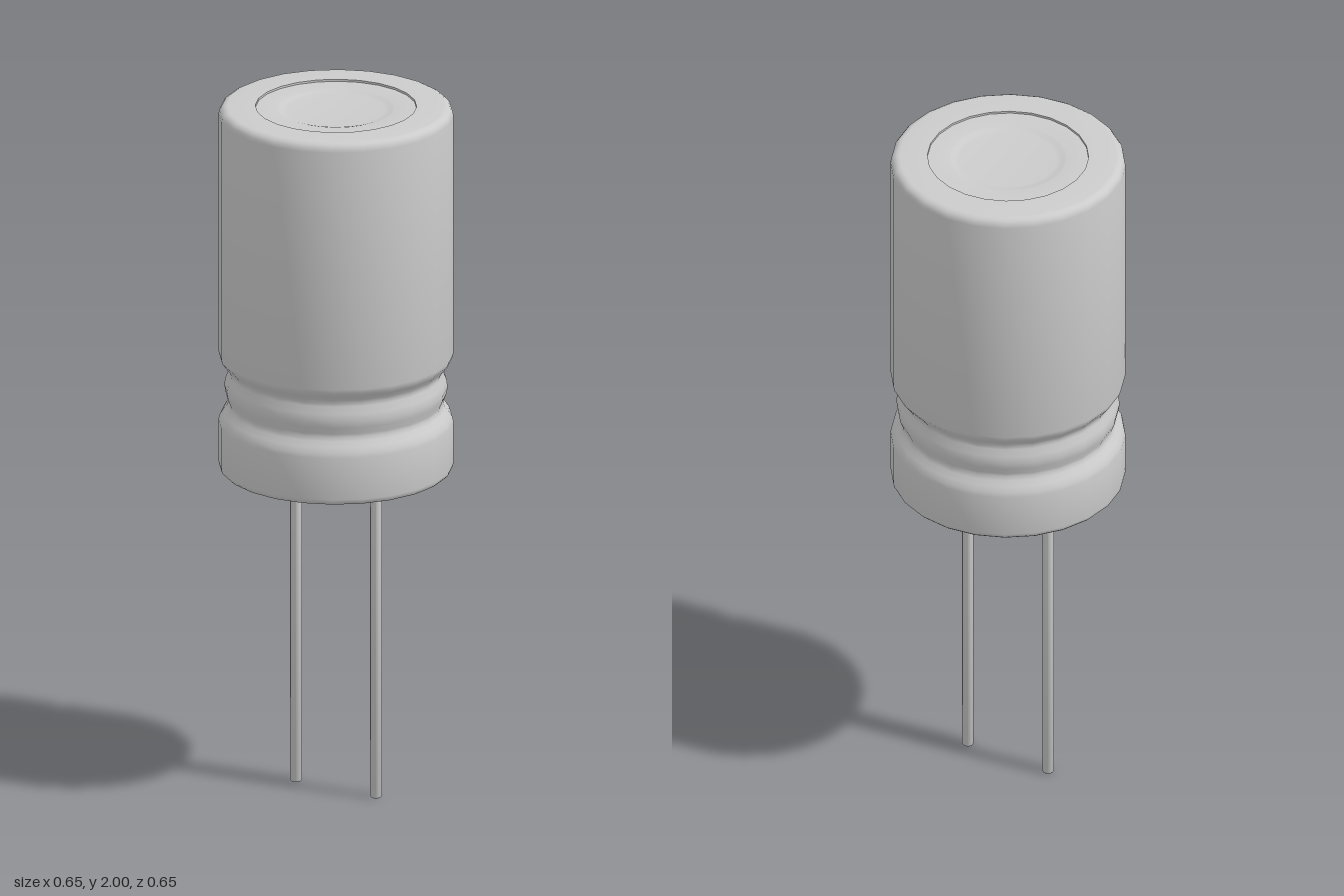
import * as THREE from 'three';
import { toCreasedNormals } from 'three/addons/utils/BufferGeometryUtils.js';

const material = new THREE.MeshStandardMaterial({ color: 0xcccccc });

// Revolve a [radius, height] profile, listed from bottom to top along the outside
function turned(name, profile, sides) {
  const points = profile.map(([r, y]) => new THREE.Vector2(r, y));
  const geometry = toCreasedNormals(new THREE.LatheGeometry(points, sides), 0.7);
  const mesh = new THREE.Mesh(geometry, material);
  mesh.name = name;
  return mesh;
}

export function createModel() {
  const group = new THREE.Group();
  group.name = 'capacitor';

  // Shrink sleeve: rounded rims, double crimp groove near the bottom, open at both ends
  group.add(turned('sleeve', [
    [0.23, 0.95], [0.23, 0.94],
    [0.308, 0.94], [0.317, 0.943], [0.323, 0.949], [0.325, 0.958],
    [0.325, 1.08], [0.322, 1.093], [0.313, 1.108], [0.302, 1.122], [0.297, 1.133],
    [0.298, 1.142], [0.306, 1.162], [0.309, 1.182], [0.306, 1.202],
    [0.298, 1.222], [0.297, 1.231], [0.302, 1.242], [0.313, 1.256], [0.322, 1.268], [0.325, 1.28],
    [0.325, 1.975], [0.323, 1.986], [0.317, 1.994], [0.308, 1.999], [0.3, 2],
    [0.223, 2], [0.223, 1.99],
  ], 24));

  // Can top with a shallow sunken dimple
  group.add(turned('canTop', [
    [0.225, 1.994], [0.165, 1.994], [0.155, 1.992], [0.145, 1.989], [0.135, 1.988], [0, 1.988],
  ], 24));

  // Rubber seal closing the bottom
  group.add(turned('bottomSeal', [[0, 0.945], [0.232, 0.945]], 24));

  // Two wire leads with small collars at the seal
  for (const side of [-1, 1]) {
    const lead = turned(side < 0 ? 'rightLead' : 'leftLead', [
      [0, 0], [0.013, 0], [0.016, 0.004], [0.016, 0.935],
      [0.021, 0.937], [0.021, 0.95],
    ], 12);
    lead.position.x = side * 0.13;
    group.add(lead);
  }

  return group;
}
